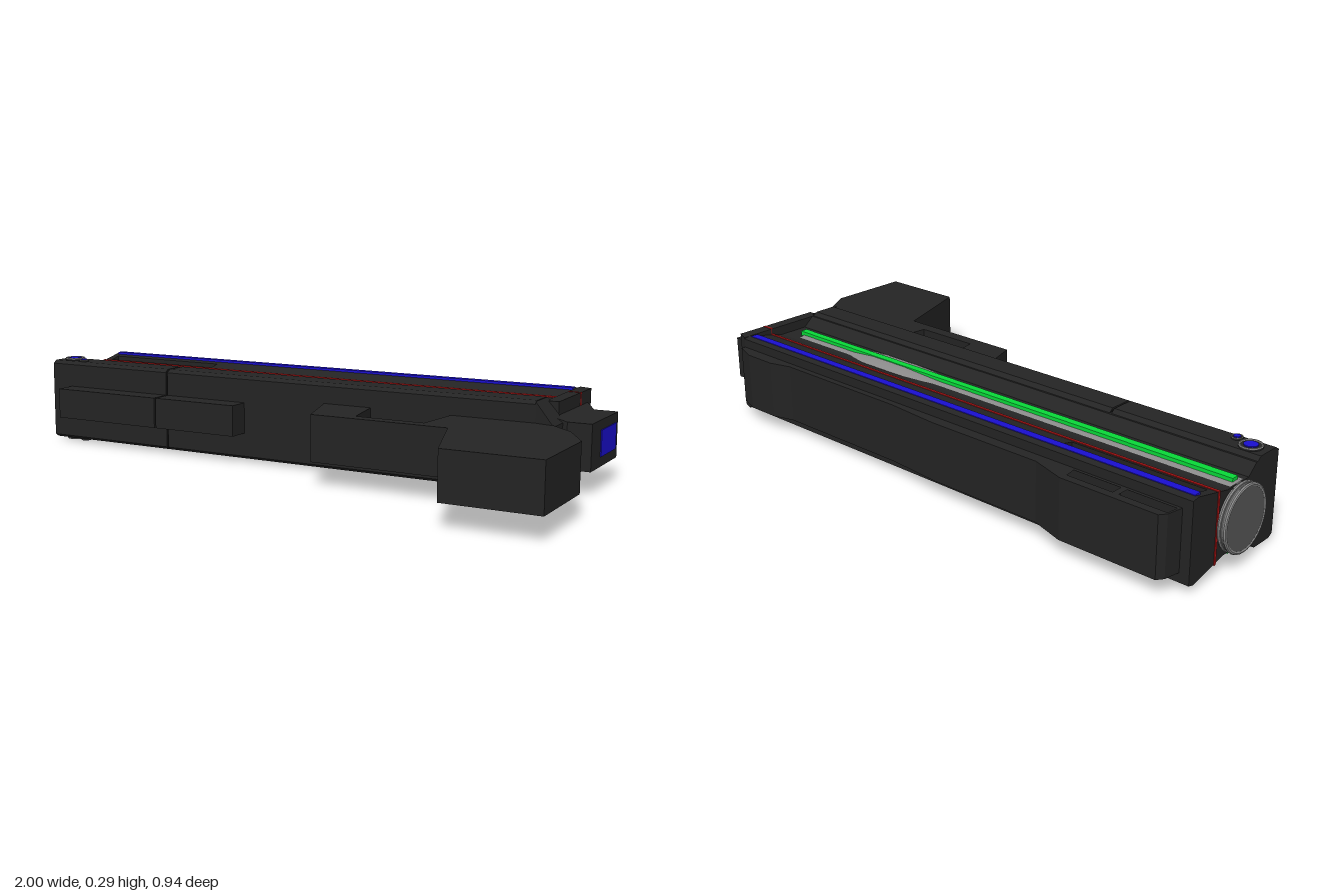
import * as THREE from 'three';

const MID = 0.145; // mid-plane height: the pistol lies on its side
const mat = (color) => new THREE.MeshStandardMaterial({ color, flatShading: true });

export function createModel() {
  const root = new THREE.Group();
  const dark = mat(0x242424), darker = mat(0x1a1a1a), grey = mat(0x8a8a8a);
  const blue = mat(0x1a0fd0), red = mat(0xb01414), green = mat(0x08d838);

  const add = (name, geo, material = dark) => {
    const m = new THREE.Mesh(geo, material);
    m.name = name;
    root.add(m);
    return m;
  };
  // Box given by its extents; h is the half thickness about the mid-plane
  const slab = (name, x0, x1, z0, z1, h, material) =>
    add(name, new THREE.BoxGeometry(x1 - x0, 2 * h, z1 - z0), material)
      .position.set((x0 + x1) / 2, MID, (z0 + z1) / 2);
  // Symmetric cross-section of [z, half thickness] points, swept along x
  const sweepX = (name, pts, x0, x1, material) => {
    const upper = pts.map(([z, h]) => new THREE.Vector2(-z, MID + h));
    const lower = pts.map(([z, h]) => new THREE.Vector2(-z, MID - h)).reverse();
    const geo = new THREE.ExtrudeGeometry(new THREE.Shape([...upper, ...lower]),
      { depth: x1 - x0, bevelEnabled: false });
    geo.rotateY(Math.PI / 2).translate(x0, 0, 0);
    return add(name, geo, material);
  };
  // Side outline of [x, z] points, given thickness along y
  const sweepY = (name, pts, h, holes = [], material) => {
    const v = (list) => list.map(([x, z]) => new THREE.Vector2(x, -z));
    const shape = new THREE.Shape(v(pts));
    holes.forEach((p) => shape.holes.push(new THREE.Path(v(p))));
    const geo = new THREE.ExtrudeGeometry(shape, { depth: 2 * h, bevelEnabled: false });
    geo.rotateX(-Math.PI / 2).translate(0, MID - h, 0);
    return add(name, geo, material);
  };
  // Block whose two x ends have different [z0, z1, half thickness]
  const taper = (name, x0, x1, a, b, material) => {
    const geo = new THREE.BoxGeometry(1, 1, 1);
    const p = geo.attributes.position;
    for (let i = 0; i < p.count; i++) {
      const [z0, z1, h] = p.getX(i) < 0 ? a : b;
      p.setXYZ(i, p.getX(i) < 0 ? x0 : x1, MID + Math.sign(p.getY(i)) * h, p.getZ(i) < 0 ? z0 : z1);
    }
    geo.computeVertexNormals();
    return add(name, geo, material);
  };

  // Slide: shallow grooves on both flanks, and an open slot near the muzzle
  const topEdge = [[-0.405, 0.12], [-0.385, 0.125]];
  const groove = [[-0.25, 0.095], [-0.15, 0.095], [-0.115, 0.125], [-0.09, 0.125]];
  sweepX('slide', [...topEdge, ...groove], -0.505, 0.8);
  sweepX('muzzleFace', [...topEdge, ...groove], -0.97, -0.945);
  sweepX('slideTopBar', [...topEdge, [-0.34, 0.115]], -0.945, -0.505);
  sweepX('slideFront', [[-0.305, 0.107], ...groove], -0.945, -0.505);
  taper('slideRear', 0.8, 0.84, [-0.405, -0.09, 0.125], [-0.39, -0.09, 0.125]);

  // Barrel showing through the grooves, with a wider chamber
  const barrelProfile = [[0, -0.97], [0.1, -0.965], [0.1, 0.1], [0.108, 0.25],
    [0.108, 0.39], [0.1, 0.48], [0.1, 0.73], [0.085, 0.75], [0, 0.75]]
    .map(([r, x]) => new THREE.Vector2(r, x));
  const barrelMat = new THREE.MeshStandardMaterial({ color: 0x8a8a8a });
  const barrel = add('barrel', new THREE.LatheGeometry(barrelProfile, 48), barrelMat);
  barrel.rotation.z = -Math.PI / 2;
  barrel.position.set(0, MID, -0.2);
  const muzzle = add('muzzle', new THREE.CylinderGeometry(0.096, 0.096, 0.04, 32), mat(0x555555));
  muzzle.rotation.z = Math.PI / 2;
  muzzle.position.set(-0.978, MID, -0.195);
  for (const x of [-0.994, -0.977]) {
    const ring = add('muzzleRing', new THREE.TorusGeometry(0.094, 0.006, 8, 32), grey);
    ring.rotation.y = Math.PI / 2;
    ring.position.set(x, MID, -0.195);
  }

  // Coloured strips, each appearing on both flanks
  slab('greenStrip', -0.96, 0.745, -0.212, -0.188, 0.11, green);
  slab('blueStrip', -0.96, 0.79, -0.385, -0.36, 0.127, blue);
  slab('redLine', -0.972, 0.8, -0.294, -0.286, 0.107, red);
  slab('redLineRear', 0.8, 0.841, -0.294, -0.286, 0.126, red);

  // Top rib, and the windowed front sight
  sweepY('topRib', [[-0.49, -0.4], [-0.49, -0.44], [-0.1, -0.44], [0.08, -0.425], [0.55, -0.425],
    [0.62, -0.445], [0.73, -0.445], [0.8, -0.42], [0.8, -0.4]], 0.092);
  sweepY('frontSight', [[-0.94, -0.4], [-0.93, -0.455], [-0.915, -0.475], [-0.6, -0.475],
    [-0.49, -0.44], [-0.49, -0.4]], 0.092, [
    [[-0.93, -0.415], [-0.925, -0.45], [-0.775, -0.45], [-0.775, -0.415]],
    [[-0.755, -0.415], [-0.755, -0.45], [-0.605, -0.45], [-0.6, -0.415]],
  ]);

  // Frame under the slide, parted by a thin seam
  const frame = [[-0.11, 0.124], [-0.095, 0.136], [-0.02, 0.136], [-0.005, 0.126]];
  sweepX('frameFront', frame, -0.97, -0.488);
  slab('frameSeam', -0.49, -0.48, -0.1, -0.01, 0.13, darker);
  sweepX('frame', frame, -0.482, 0.8);
  taper('frameRear', 0.8, 0.86, [-0.11, -0.005, 0.134], [-0.08, 0.01, 0.068]);
  slab('underRailFront', -0.89, -0.488, -0.02, 0.065, 0.05);
  slab('underRail', -0.482, -0.18, -0.02, 0.065, 0.05);

  // Grip and trigger guard in one outline
  sweepY('gripAndTriggerGuard', [[0.105, -0.02], [0.115, 0], [0.175, 0.19], [0.615, 0.19], [0.71, 0.47],
    [1, 0.47], [1, 0.19], [0.93, 0.07], [0.84, -0.01], [0.83, -0.02]], 0.072,
  [[[0.275, -0.006], [0.305, 0.15], [0.525, 0.15], [0.54, -0.006]]]);
  sweepY('trigger', [[0.415, -0.02], [0.435, 0.12], [0.46, 0.115], [0.447, -0.02]], 0.03);

  // Rear plug with a blue plate
  taper('rearPlugBase', 0.835, 0.87, [-0.365, -0.045, 0.088], [-0.33, -0.08, 0.07]);
  slab('rearPlug', 0.865, 0.944, -0.33, -0.08, 0.07);
  slab('rearPlate', 0.935, 0.947, -0.31, -0.165, 0.04, blue);

  // Round lamps at the front of the frame, running through to both flanks
  for (const [x, z, r] of [[-0.917, -0.06, 0.034], [-0.86, -0.038, 0.017]]) {
    add('lampHousing', new THREE.CylinderGeometry(r, r, 0.282, 24)).position.set(x, MID, z);
    add('lamp', new THREE.CylinderGeometry(r * 0.6, r * 0.6, 0.288, 24), blue).position.set(x, MID, z);
    for (const s of [-1, 1]) {
      const rim = add('lampRim', new THREE.TorusGeometry(r * 0.92, r * 0.1, 6, 24), grey);
      rim.rotation.x = Math.PI / 2;
      rim.position.set(x, MID + s * 0.141, z);
    }
  }
  return root;
}
